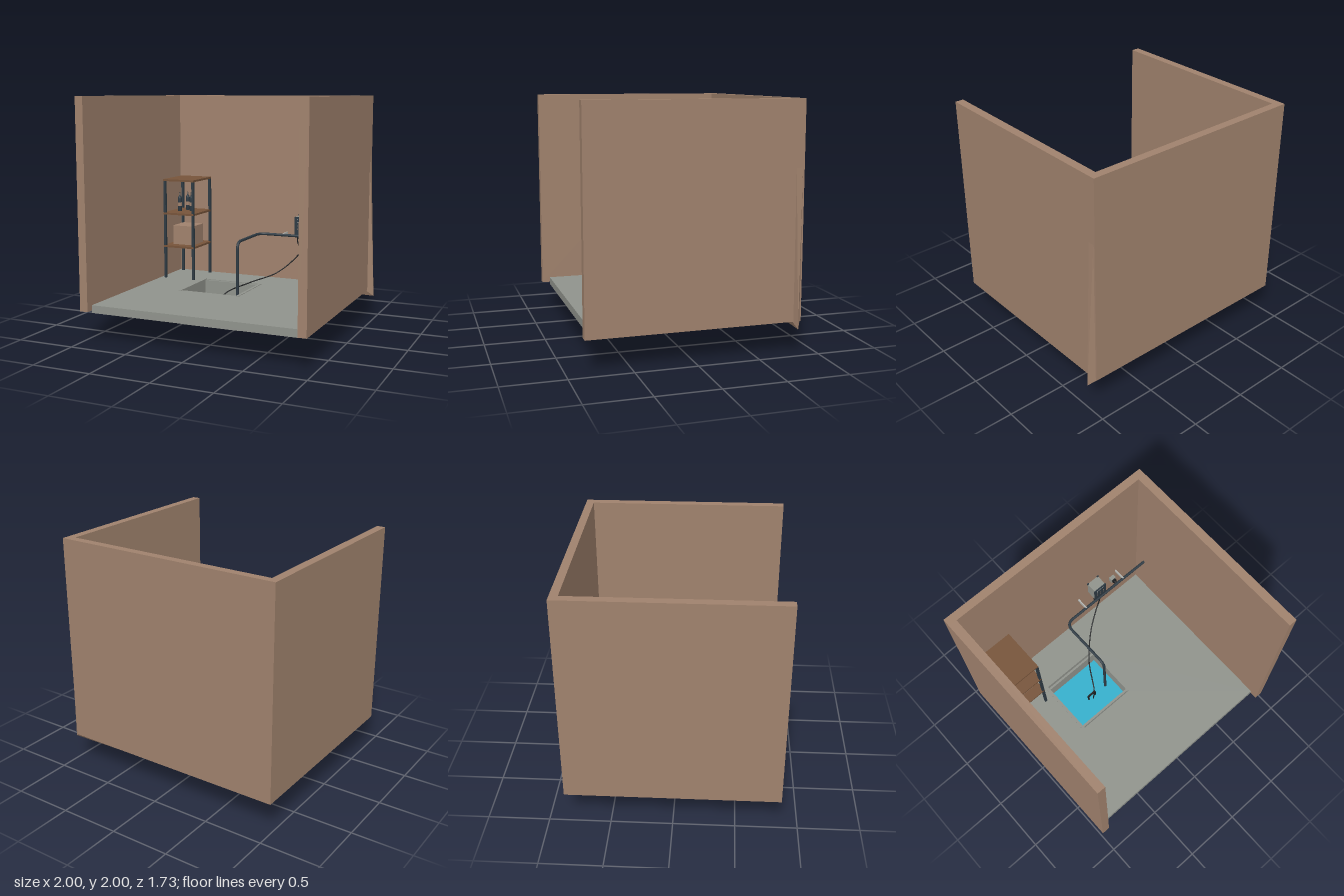
import * as THREE from 'three';
import { ConvexGeometry } from 'three/addons/geometries/ConvexGeometry.js';

const paint = (name, color, side = THREE.FrontSide) => {
  const m = new THREE.MeshStandardMaterial({ color, side });
  m.name = name;
  return m;
};

export function createModel() {
  const root = new THREE.Group();
  root.name = 'pumpRoom';
  const wall = paint('wallTan', 0xa0826d);
  const concrete = paint('concreteGray', 0x90938c);
  const wood = paint('shelfWood', 0x77543a);
  const dark = paint('darkSteel', 0x2e3a43);
  const black = paint('cableBlack', 0x1a1c1e);
  const water = paint('waterBlue', 0x33b0cd, THREE.DoubleSide);
  const steel = paint('paleSteel', 0xb4b6b2);

  const add = (name, geo, mat, parent = root) => {
    const m = new THREE.Mesh(geo, mat);
    m.name = name;
    parent.add(m);
    return m;
  };
  // Box given by its low and high limits on each axis
  const box = (name, mat, x0, x1, y0, y1, z0, z1, parent = root) => {
    const m = add(name, new THREE.BoxGeometry(x1 - x0, y1 - y0, z1 - z0), mat, parent);
    m.position.set((x0 + x1) / 2, (y0 + y1) / 2, (z0 + z1) / 2);
    return m;
  };
  const group = (name) => {
    const g = new THREE.Group();
    g.name = name;
    root.add(g);
    return g;
  };
  const v = (x, y, z) => new THREE.Vector3(x, y, z);

  // Walls
  box('backWall', wall, -1, 0.945, 0.262, 2, -0.867, -0.8);
  box('rightWall', wall, -1, -0.93, 0.262, 2, -0.8, 0.862);
  box('leftWall', wall, 0.875, 0.945, 0.262, 2, -0.8, 0.862);

  // Tapered wedge sticking out of the back corner
  add('cornerWedge', new ConvexGeometry([
    v(1, 0.214, -0.82), v(0.943, 1.52, -0.8), v(0.943, 1.52, -0.853),
    v(0.93, 0.263, -0.8), v(0.93, 0.263, -0.865), v(-0.7, 0.263, -0.83),
  ]), wall);

  // Floor slab with a hole for the sump
  const rect = (path, x0, x1, z0, z1) => {
    path.moveTo(x0, -z1);
    path.lineTo(x1, -z1);
    path.lineTo(x1, -z0);
    path.lineTo(x0, -z0);
    path.closePath();
    return path;
  };
  const slab = rect(new THREE.Shape(), -0.93, 0.875, -0.8, 0.795);
  slab.holes.push(rect(new THREE.Path(), -0.5, 0.025, -0.48, 0.04));
  const slabGeo = new THREE.ExtrudeGeometry(slab, { depth: 0.065, bevelEnabled: false });
  slabGeo.rotateX(-Math.PI / 2);
  add('floor', slabGeo, concrete).position.y = 0.24;

  // Sump basin, rim and water
  const sump = group('sump');
  box('basinBottom', concrete, -0.515, 0.045, 0, 0.02, -0.465, 0.03, sump);
  box('basinSideA', concrete, -0.515, -0.5, 0.02, 0.24, -0.465, 0.03, sump);
  box('basinSideB', concrete, 0.025, 0.045, 0.02, 0.24, -0.465, 0.03, sump);
  box('basinBack', concrete, -0.515, 0.045, 0.02, 0.302, -0.465, -0.446, sump);
  box('basinFront', concrete, -0.515, 0.045, 0.02, 0.302, 0.01, 0.03, sump);
  box('rimA', concrete, -0.525, -0.5, 0.305, 0.309, -0.48, 0.04, sump);
  box('rimB', concrete, 0.025, 0.05, 0.305, 0.309, -0.48, 0.04, sump);
  box('water', water, -0.5, 0.025, 0.02, 0.15, -0.446, 0.01, sump);
  for (const r of [0.05, 0.09, 0.125, 0.155]) {
    const ring = add('ripple', new THREE.RingGeometry(r - 0.003, r, 40), water, sump);
    ring.rotation.x = -Math.PI / 2;
    ring.position.set(-0.23, 0.152, -0.18);
  }

  // Submerged pump with a carrying handle
  const pump = group('pump');
  add('pumpBody', new THREE.CylinderGeometry(0.05, 0.05, 0.12, 24), dark, pump)
    .position.set(-0.23, 0.08, -0.18);
  for (const s of [-1, 1]) {
    box('handlePost', black, -0.23 + s * 0.038 - 0.006, -0.23 + s * 0.038 + 0.006,
      0.14, 0.235, -0.187, -0.173, pump);
  }
  box('handleBar', black, -0.274, -0.186, 0.233, 0.247, -0.188, -0.172, pump);

  // Discharge pipe: up from the sump, back, then along the wall
  const path = new THREE.CurvePath();
  const line = (a, b) => path.add(new THREE.LineCurve3(a, b));
  const bend = (a, b, c) => path.add(new THREE.QuadraticBezierCurve3(a, b, c));
  const px = -0.06, py = 0.732, pz = -0.695, r = 0.08;
  line(v(px, 0.06, -0.185), v(px, py - 0.07, -0.185));
  bend(v(px, py - 0.07, -0.185), v(px, py, -0.185), v(px, py, -0.255));
  line(v(px, py, -0.255), v(px, py, pz + r));
  bend(v(px, py, pz + r), v(px, py, pz), v(px + r, py, pz));
  line(v(px + r, py, pz), v(0.88, py, pz));
  add('dischargePipe', new THREE.TubeGeometry(path, 160, 0.0125, 12), dark);

  // Pipe brackets
  for (const x of [0.175, 0.62]) {
    box('pipeBracket', steel, x - 0.006, x + 0.006, 0.717, 0.747, -0.8, -0.69);
  }

  // Control box with front panel, screen, buttons and mounting tabs
  const control = group('controlBox');
  box('case', concrete, 0.29, 0.41, 0.737, 0.905, -0.8, -0.705, control);
  box('frontPanel', dark, 0.284, 0.416, 0.735, 0.907, -0.705, -0.696, control);
  for (const x of [0.294, 0.406]) {
    box('mountingTab', dark, x - 0.009, x + 0.009, 0.9, 0.92, -0.8, -0.792, control);
  }
  box('screenFrame', steel, 0.308, 0.386, 0.853, 0.887, -0.697, -0.694, control);
  box('screen', dark, 0.311, 0.383, 0.856, 0.884, -0.695, -0.692, control);
  for (const y of [0.825, 0.797]) {
    for (const x of [0.315, 0.35, 0.385]) {
      const b = add('button', new THREE.CylinderGeometry(0.004, 0.004, 0.004, 10), wall, control);
      b.rotation.x = Math.PI / 2;
      b.position.set(x, y, -0.695);
    }
  }

  // Wall outlet and plug
  const outlet = group('outlet');
  box('outletPlate', concrete, 0.54, 0.59, 0.635, 0.692, -0.8, -0.765, outlet);
  box('plug', black, 0.548, 0.582, 0.65, 0.682, -0.765, -0.745, outlet);
  const tip = add('plugNeck', new THREE.CylinderGeometry(0.009, 0.014, 0.025, 12), black, outlet);
  tip.rotation.x = Math.PI / 2;
  tip.position.set(0.565, 0.664, -0.735);

  // Cables
  const cable = (name, pts) => add(name, new THREE.TubeGeometry(
    new THREE.CatmullRomCurve3(pts.map((p) => v(...p))), 64, 0.0055, 8), black);
  cable('pumpCable', [[-0.23, 0.14, -0.16], [-0.19, 0.25, -0.19], [-0.05, 0.32, -0.42],
    [0.14, 0.39, -0.61], [0.27, 0.5, -0.69], [0.36, 0.62, -0.725], [0.39, 0.74, -0.735]]);
  cable('powerCable', [[0.305, 0.74, -0.735], [0.305, 0.66, -0.735], [0.34, 0.615, -0.735],
    [0.43, 0.597, -0.735], [0.52, 0.62, -0.735], [0.565, 0.66, -0.735]]);

  // Shelf unit
  const shelf = group('shelfUnit');
  for (const x of [-0.885, -0.597]) {
    for (const z of [-0.754, -0.396]) {
      box('shelfLeg', dark, x - 0.011, x + 0.011, 0.305, 1.215, z - 0.011, z + 0.011, shelf);
    }
  }
  for (const y of [0.595, 0.903, 1.215]) {
    box('shelfBoard', wood, -0.897, -0.587, y, y + 0.018, -0.766, -0.384, shelf);
  }
  box('storageBox', wall, -0.845, -0.64, 0.613, 0.79, -0.69, -0.475, shelf);

  // Bottles with paper labels
  const profile = [[0, 0], [0.019, 0], [0.019, 0.115], [0.015, 0.13], [0.008, 0.142],
    [0.007, 0.17], [0, 0.17]].map((p) => new THREE.Vector2(...p));
  for (const [x, z] of [[-0.812, -0.55], [-0.778, -0.65], [-0.714, -0.6]]) {
    const bottle = group('bottle');
    bottle.position.set(x, 0.921, z);
    add('bottleGlass', new THREE.LatheGeometry(profile, 16), dark, bottle);
    add('bottleLabel', new THREE.CylinderGeometry(0.0198, 0.0198, 0.036, 16), wall, bottle)
      .position.y = 0.063;
    add('bottleCap', new THREE.CylinderGeometry(0.0078, 0.0078, 0.008, 12), wall, bottle)
      .position.y = 0.158;
  }
  return root;
}
